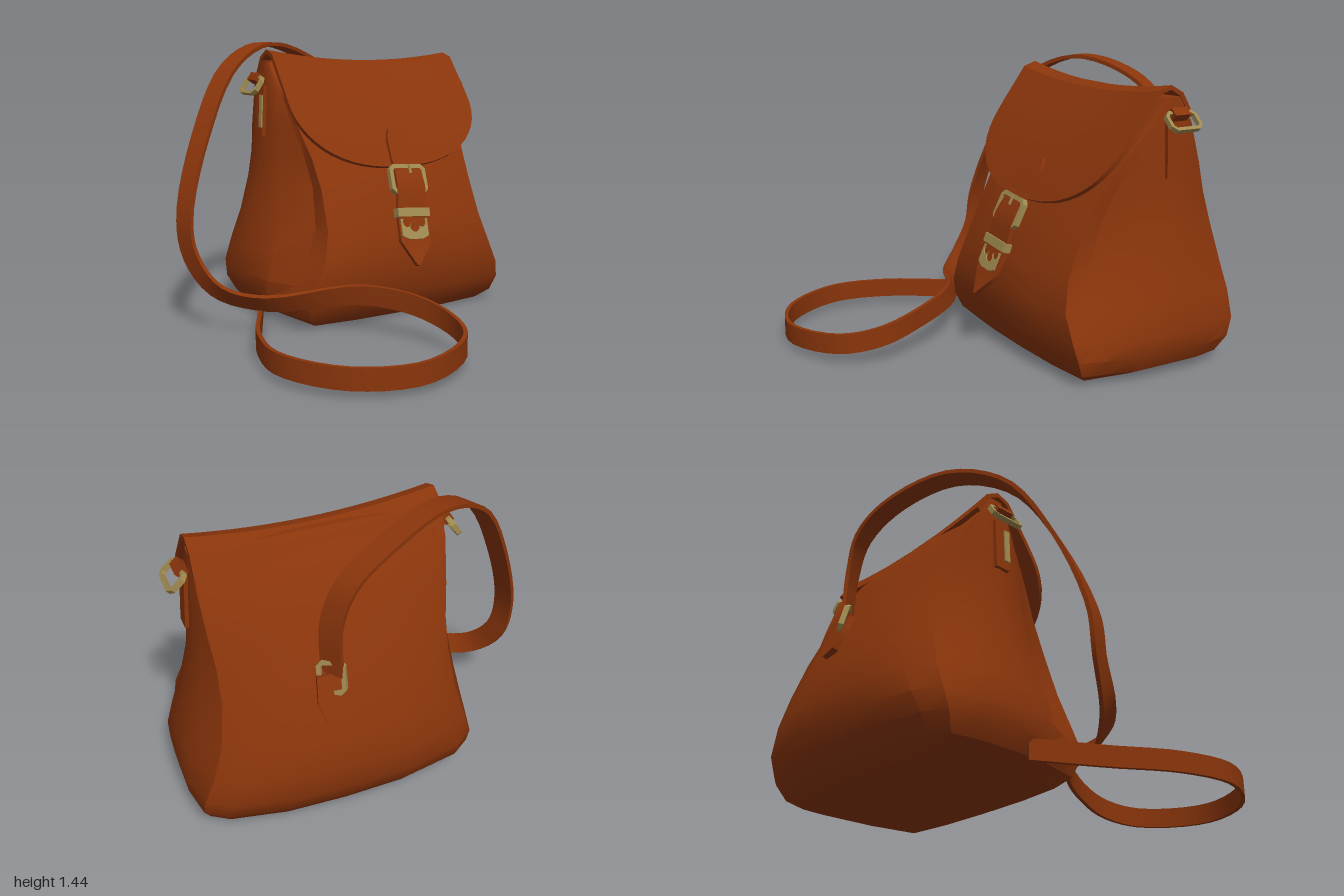
import * as THREE from 'three';
import { toCreasedNormals } from 'three/addons/utils/BufferGeometryUtils.js';

const leather = new THREE.MeshStandardMaterial({ color: 0x8a350b });
leather.name = 'brown leather';
const brass = new THREE.MeshStandardMaterial({ color: 0xa08a50 });
brass.name = 'aged brass';

const V = (x, y, z) => new THREE.Vector3(x, y, z);
const lerp = THREE.MathUtils.lerp;
const CX = 0.2; // the bag stands to the side of the loose strap

function add(parent, name, geometry, material, pos = [0, 0, 0], rot = [0, 0, 0]) {
  const mesh = new THREE.Mesh(geometry, material);
  mesh.name = name;
  mesh.position.set(...pos);
  mesh.rotation.set(...rot);
  parent.add(mesh);
}

// Skin through rings of points, closed at both ends
function loft(rings, crease = 0.6) {
  const n = rings[0].length, last = (rings.length - 1) * n, index = [];
  for (let r = 0; r < last; r += n) {
    for (let i = 0; i < n; i++) {
      const a = r + i, b = r + (i + 1) % n;
      index.push(a, b, b + n, a, b + n, a + n);
    }
  }
  for (let i = 0; i < n / 2 - 1; i++) {
    const q = [i, i + 1, n - 2 - i, n - 1 - i];
    index.push(q[0], q[2], q[1], q[0], q[3], q[2]);
    index.push(...[q[0], q[1], q[2], q[0], q[2], q[3]].map(k => k + last));
  }
  const geo = new THREE.BufferGeometry().setFromPoints(rings.flat());
  geo.setIndex(index);
  return toCreasedNormals(geo, crease);
}

// Flat band along points; each has a width direction and a half width
function ribbon(points, widths, halves, thick, steps) {
  const path = new THREE.CatmullRomCurve3(points), turn = new THREE.CatmullRomCurve3(widths);
  const rings = [];
  for (let k = 0; k <= steps; k++) {
    const t = k / steps, f = t * (halves.length - 1), j = Math.min(Math.floor(f), halves.length - 2);
    const p = path.getPoint(t), T = path.getTangent(t), W = turn.getPoint(t);
    W.addScaledVector(T, -W.dot(T)).normalize();
    const N = T.clone().cross(W).multiplyScalar(thick / 2);
    W.multiplyScalar(lerp(halves[j], halves[j + 1], f - j));
    rings.push([[1, 1], [-1, 1], [-1, -1], [1, -1]].map(([a, b]) =>
      p.clone().addScaledVector(W, a).addScaledVector(N, b)));
  }
  return loft(rings);
}

// Rectangular buckle frame with cut corners
function frame(w, h, bar, depth) {
  const outline = (a, b, c) => [[-a + c, -b], [a - c, -b], [a, -b + c], [a, b - c],
    [a - c, b], [-a + c, b], [-a, b - c], [-a, -b + c]].map(p => new THREE.Vector2(...p));
  const shape = new THREE.Shape(outline(w / 2, h / 2, 0.025));
  shape.holes.push(new THREE.Path(outline(w / 2 - bar, h / 2 - bar, 0.012)));
  return new THREE.ExtrudeGeometry(shape, { depth, bevelEnabled: false }).translate(0, 0, -depth / 2);
}

// Body levels: height, front z, back z, half width, half width of the front panel
const levels = [
  [0, -0.04, -0.82, 0.56, 0.52], [0.05, 0.015, -0.89, 0.655, 0.58], [0.13, 0.05, -0.95, 0.7, 0.6],
  [0.22, 0.075, -0.99, 0.715, 0.58], [0.35, 0.085, -1.0, 0.7, 0.52], [0.5, 0.05, -0.97, 0.67, 0.48],
  [0.7, -0.03, -0.9, 0.63, 0.47], [0.85, -0.11, -0.83, 0.61, 0.48], [1.0, -0.2, -0.76, 0.6, 0.51],
  [1.2, -0.34, -0.66, 0.588, 0.55], [1.33, -0.44, -0.56, 0.58, 0.565],
];
function frontZ(y) {
  let i = 0;
  while (i < levels.length - 2 && levels[i + 1][0] < y) i++;
  const [a, b] = [levels[i], levels[i + 1]];
  return lerp(a[1], b[1], (y - a[0]) / (b[0] - a[0]));
}
// The top edge dips in the middle and leans a little
const sag = (dx, y) => y - (0.045 * (1 - (dx / 0.58) ** 2) + 0.02 * dx) * (y / 1.35) ** 4;

// Body with a flat front panel and a folded gusset on each side
function bodyGeometry() {
  return loft(levels.map(([y, f, b, w, p]) => {
    const c = -0.49;
    const fold = Math.sin(Math.PI * THREE.MathUtils.clamp((y - 0.12) / 1.1, 0, 1));
    const half = [[0, f], [0.55 * p, f - 0.006], [p, f - 0.03 - 0.02 * fold],
      [lerp(p, w, 0.4 - 0.4 * fold), lerp(f, c, 0.3)], [lerp(p, w, 0.93 - 0.25 * fold), lerp(f, c, 0.6)], [w, c],
      [lerp(p, w, 1 - 0.15 * fold), lerp(b, c, 0.62)], [lerp(p, w, 0.7 - 0.25 * fold), lerp(b, c, 0.28)],
      [p * 0.95, b + 0.06], [p * 0.5, b + 0.01], [0, b]];
    const other = half.slice(1, -1).reverse().map(([x, z]) => [-x, z]);
    return [...half, ...other].map(([x, z]) => V(CX + x, sag(x, y), z));
  }), 0.5);
}

function flapGeometry() {
  const rings = [], cols = 28, thick = 0.022;
  for (let k = 0; k <= cols; k++) {
    const u = Math.sin((k / cols - 0.5) * Math.PI), dx = u * 0.575;
    const low = 0.8 + 0.33 * (1 - Math.sqrt(Math.max(0, 1 - Math.abs(u) ** 2.4)));
    const outer = [[-0.61, 1.25], [-0.55, 1.35], [-0.48, 1.388], [-0.41, 1.365]];
    for (let j = 0; j <= 7; j++) {
      const y = lerp(1.28, low, j / 7);
      outer.push([frontZ(y) + 0.055, y]);
    }
    const inner = outer.map(([z, y], i) => {
      const a = outer[Math.max(i - 1, 0)], b = outer[Math.min(i + 1, outer.length - 1)];
      const dz = b[0] - a[0], dy = b[1] - a[1], l = Math.hypot(dz, dy);
      return [z + dy / l * thick, y - dz / l * thick];
    }).reverse();
    rings.push([...outer, ...inner].map(([z, y]) => V(CX + 0.005 + dx, sag(dx, y), z)));
  }
  return loft(rings, 0.5);
}

// Long strap: x, y, z, then its width direction
const strapPath = [
  [0.27, 0.8, -0.87, -0.6, 0, -0.8], [0.27, 1.06, -0.86, -0.55, 0, -0.83], [0.2, 1.24, -0.86, -0.45, 0, -0.9],
  [0.02, 1.36, -0.82, -0.35, 0, -0.95], [-0.28, 1.425, -0.7, -0.4, 0, -0.92], [-0.55, 1.3, -0.57, -0.45, 0, -0.9],
  [-0.75, 0.97, -0.47, -0.4, 0, -0.9], [-0.88, 0.58, -0.39, -0.3, 0, -0.95], [-0.87, 0.38, -0.35, -0.3, -0.1, -0.95],
  [-0.79, 0.22, -0.22, -0.1, -0.5, -0.8], [-0.6, 0.165, -0.05, 0.35, -0.8, -0.45], [-0.2, 0.2, 0.16, 0.1, -1, -0.15],
  [-0.03, 0.18, 0.4, 0, -1, 0], [0.02, 0.13, 0.65, 0, -1, 0], [-0.06, 0.1, 0.84, 0, -1, 0],
  [-0.38, 0.08, 0.98, 0, -1, 0], [-0.68, 0.08, 0.87, 0, -1, 0], [-0.85, 0.085, 0.57, 0, -1, 0],
  [-0.8, 0.085, 0.27, 0, -1, 0], [-0.64, 0.075, -0.05, 0, -1, 0], [-0.47, 0.07, -0.38, 0, -1, 0],
];

export function createModel() {
  const bag = new THREE.Group();
  bag.name = 'shoulderBag';
  add(bag, 'body', bodyGeometry(), leather);
  add(bag, 'flap', flapGeometry(), leather);
  add(bag, 'shoulderStrap', ribbon(strapPath.map(p => V(p[0], p[1], p[2])),
    strapPath.map(p => V(p[3], p[4], p[5])), [0.055, 0.055, 0.05, 0.05], 0.02, 90), leather);

  // Front fastening: tab on the flap, hanging tongue, buckle and metal tip
  const X = V(1, 0, 0);
  const tab = [1.0, 0.98, 0.94, 0.88, 0.79].map((y, i) => V(0.225 - i * 0.006, y - 0.01, frontZ(y) + 0.065));
  add(bag, 'flapTab', ribbon(tab, tab.map(() => X), [0.035, 0.06, 0.075, 0.078, 0.08], 0.02, 8), leather);
  const tongue = [V(0.2, 0.82, -0.03), V(0.19, 0.7, 0.045), V(0.175, 0.56, 0.08),
    V(0.16, 0.42, 0.135), V(0.14, 0.31, 0.19)];
  add(bag, 'tongue', ribbon(tongue, tongue.map(() => X), [0.075, 0.085, 0.09, 0.09, 0.008], 0.022, 12), leather);
  const buckle = new THREE.Group();
  buckle.name = 'frontBuckle';
  buckle.position.set(0.19, 0.73, 0.02);
  buckle.rotation.set(-0.42, 0, -0.08);
  bag.add(buckle);
  add(buckle, 'buckleFrame', frame(0.22, 0.16, 0.022, 0.028), brass);
  add(buckle, 'bucklePin', new THREE.CylinderGeometry(0.008, 0.008, 0.05, 6), brass, [0.01, 0.05, 0.022]);
  add(bag, 'keeper', new THREE.BoxGeometry(0.195, 0.045, 0.045), brass, [0.175, 0.565, 0.082], [-0.3, 0, -0.08]);
  const plate = new THREE.Shape();
  plate.moveTo(-0.08, 0.05);
  plate.lineTo(-0.08, -0.04);
  plate.lineTo(-0.04, -0.058);
  plate.lineTo(0.04, -0.058);
  plate.lineTo(0.08, -0.04);
  plate.lineTo(0.08, 0.05);
  plate.absarc(0.045, 0.03, 0.025, 0.7, Math.PI, true);
  plate.absarc(0, 0.01, 0.03, 0, Math.PI, true);
  plate.absarc(-0.045, 0.03, 0.025, 0, 2.4, true);
  add(bag, 'tonguePlate', new THREE.ExtrudeGeometry(plate, { depth: 0.008, bevelEnabled: false, curveSegments: 6 }),
    brass, [0.165, 0.49, 0.12], [-0.38, 0, -0.08]);

  // Side tabs with tilted rings
  for (const s of [-1, 1]) {
    const side = new THREE.Group();
    side.name = s > 0 ? 'leftRing' : 'rightRing';
    side.position.set(CX + s * 0.645, 1.215, -0.5);
    side.rotation.z = s * (s > 0 ? 0.8 : 0.6);
    bag.add(side);
    add(side, 'ring', frame(0.18, 0.11, 0.017, 0.024), brass, [0, 0, 0], [0, Math.PI / 2, 0]);
    add(side, 'ringLoop', new THREE.BoxGeometry(0.045, 0.045, 0.09), leather, [0, 0.042, 0]);
    add(bag, 'sideTab', new THREE.BoxGeometry(0.02, 0.26, 0.08), leather,
      [CX + s * 0.602, 1.08, -0.485], [0, 0, s * 0.05]);
  }
  add(bag, 'tabPlate', new THREE.BoxGeometry(0.016, 0.17, 0.03), brass, [CX - 0.612, 1.08, -0.46], [0, 0, -0.05]);

  // Back anchor of the strap
  const patch = [V(0.27, 0.6, -0.945), V(0.275, 0.69, -0.91), V(0.28, 0.8, -0.865)];
  add(bag, 'backTab', ribbon(patch, patch.map(() => V(1, 0, 0.15)), [0.05, 0.075, 0.06], 0.03, 6), leather);
  add(bag, 'backBuckle', frame(0.13, 0.16, 0.02, 0.026), brass, [0.275, 0.79, -0.88], [0.25, 2.5, 0]);
  return bag;
}
